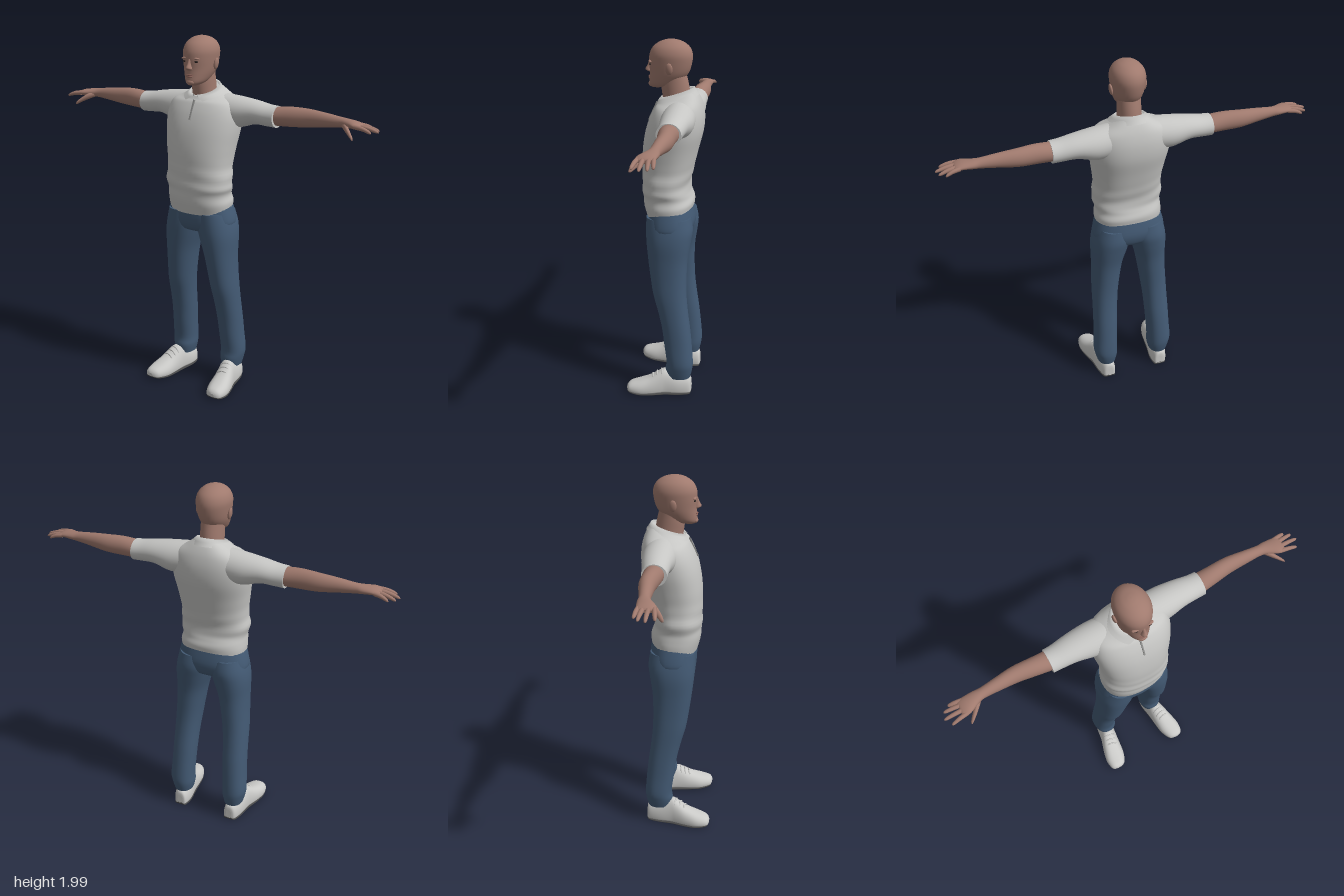
import * as THREE from 'three';

const mat = (name, color, side = THREE.FrontSide) => {
  const m = new THREE.MeshStandardMaterial({ color, side });
  m.name = name;
  return m;
};

// Catmull-Rom resampling of a table of section parameters, column by column
function smooth(rows, sub) {
  const out = [];
  const n = rows.length;
  for (let i = 0; i < n - 1; i++) {
    const [a, b, c, d] = [rows[Math.max(i - 1, 0)], rows[i], rows[i + 1], rows[Math.min(i + 2, n - 1)]];
    for (let k = 0; k < sub; k++) {
      const t = k / sub;
      out.push(b.map((p1, j) => {
        const p0 = a[j], p2 = c[j], p3 = d[j];
        return p1 + 0.5 * t * (p2 - p0 + t * (2 * p0 - 5 * p1 + 4 * p2 - p3 + t * (3 * (p1 - p2) + p3 - p0)));
      }));
    }
  }
  out.push(rows[n - 1]);
  return out;
}

// Closed skin over the sections; ring(row, angle) gives one point, side mirrors in x
function loft(name, material, rows, ring, { side = 1, sub = 4, seg = 32 } = {}) {
  const pos = [], idx = [];
  const rings = smooth(rows, sub).map((r) => Array.from({ length: seg }, (_, j) => {
    const p = ring(r, (j / seg) * Math.PI * 2);
    return [p[0] * side, p[1], p[2]];
  }));
  rings.forEach((r) => r.forEach((p) => pos.push(...p)));
  for (let i = 0; i < rings.length - 1; i++) {
    for (let j = 0; j < seg; j++) {
      const a = i * seg + j, b = i * seg + (j + 1) % seg;
      idx.push(a, a + seg, b, b, a + seg, b + seg);
    }
  }
  // End caps with their own vertices keep the rims crisp
  [rings[0], rings[rings.length - 1]].forEach((r, end) => {
    const base = pos.length / 3;
    r.forEach((p) => pos.push(...p));
    pos.push(...[0, 1, 2].map((k) => r.reduce((s, p) => s + p[k], 0) / seg));
    for (let j = 0; j < seg; j++) {
      const a = base + j, b = base + (j + 1) % seg;
      idx.push(...(end ? [a, base + seg, b] : [a, b, base + seg]));
    }
  });
  // Turn the faces outward whichever way the sections run
  const v = (i) => new THREE.Vector3().fromArray(pos, i * 3);
  let volume = 0;
  for (let i = 0; i < idx.length; i += 3) volume += v(idx[i]).dot(v(idx[i + 1]).cross(v(idx[i + 2])));
  if (volume < 0) idx.reverse();
  const g = new THREE.BufferGeometry();
  g.setAttribute('position', new THREE.Float32BufferAttribute(pos, 3));
  g.setIndex(idx);
  g.computeVertexNormals();
  const mesh = new THREE.Mesh(g, material);
  mesh.name = name;
  return mesh;
}

const pw = (v, e) => Math.sign(v) * Math.abs(v) ** e;

// Upright section: [y, halfWidth, zFront, zBack, tilt]
const upright = (e = 1) => ([y, w, f, b, tilt = 0], a) =>
  [w * pw(Math.cos(a), e), y - tilt * Math.sin(a), (f + b) / 2 + ((f - b) / 2) * pw(Math.sin(a), e)];
// Sideways section: [x, yCentre, zCentre, yRadius, zRadius]
const sideways = ([x, y, z, ry, rz], a) => [x, y + ry * Math.sin(a), z + rz * Math.cos(a)];
// Trouser leg section: [y, xOuter, xInner, zFront, zBack]
const legRing = ([y, o, i, f, b], a) =>
  [(o + i) / 2 + ((o - i) / 2) * pw(Math.cos(a), 0.9), y, (f + b) / 2 + ((f - b) / 2) * pw(Math.sin(a), 0.9)];
// Shoe section: [z, xCentre, halfWidth, top, bottom], rounded above and flat below
const shoeRing = ([z, x, w, top, bottom], a) => {
  const s = Math.sin(a), base = bottom + (top - bottom) * 0.3;
  return [x + w * pw(Math.cos(a), 0.8), s > 0 ? base + (top - base) * s : base - (base - bottom) * Math.abs(s) ** 0.4, z];
};

export function createModel() {
  const model = new THREE.Group();
  model.name = 'standingMan';
  const skin = mat('skin', 0xa07a6e);
  const lip = mat('lips', 0x8a6158);
  const eyeDark = mat('eyes', 0x2e2624);
  const shirt = mat('shirt', 0xc6c6c4, THREE.DoubleSide);
  const seam = mat('shirtSeam', 0x8c8c8a);
  const denim = mat('trousers', 0x435a74);
  const shoe = mat('shoe', 0xcacac8);
  const sole = mat('sole', 0x484848);

  const blob = (name, material, p, s, rz = 0) => {
    const m = new THREE.Mesh(new THREE.SphereGeometry(1, 20, 14), material);
    m.name = name;
    m.position.set(...p);
    m.scale.set(...s);
    m.rotation.z = rz;
    model.add(m);
  };

  // Shirt body with a loose waist and soft folds
  const body = upright(0.86);
  model.add(loft('shirtBody', shirt, [
    [1.06, 0.182, 0.108, -0.145, 0.025], [1.1, 0.186, 0.122, -0.147, 0.012], [1.15, 0.18, 0.13, -0.138, 0],
    [1.2, 0.192, 0.132, -0.124, 0], [1.3, 0.185, 0.133, -0.142, 0], [1.4, 0.197, 0.13, -0.165, 0],
    [1.5, 0.212, 0.115, -0.19, 0], [1.58, 0.213, 0.09, -0.195, 0], [1.64, 0.19, 0.062, -0.185, 0.005],
    [1.675, 0.125, 0.045, -0.165, 0.02], [1.7, 0.075, 0.035, -0.14, 0.03],
  ], (r, a) => {
    const p = body(r, a);
    const fold = 1 + 0.018 * Math.sin(r[0] * 75 + 2 * Math.cos(a)) * Math.exp(-(((r[0] - 1.2) / 0.09) ** 2));
    return [p[0] * fold, p[1], p[2] * fold];
  }, { sub: 6, seg: 48 }));

  // Folded collar, open at the front
  const collarPos = [], collarIdx = [], cn = 40;
  [[0.066, 0.08, 1.69, 0.03, 0.1, 0], [0.074, 0.092, 1.71, 0.03, 0.14, 0], [0.092, 0.105, 1.695, 0.025, 0.3, 0.01],
    [0.112, 0.118, 1.68, 0.022, 0.5, 0.025]].forEach(([rx, rz, y, tilt, gap, drop], i) => {
    for (let j = 0; j <= cn; j++) {
      const a = gap + (j / cn) * (Math.PI * 2 - 2 * gap), c = Math.cos(a);
      collarPos.push(rx * Math.sin(a), y - tilt * c - drop * Math.max(0, c) ** 5, -0.05 + rz * c);
      if (i && j) {
        const q = i * (cn + 1) + j, p = q - cn - 1;
        collarIdx.push(p - 1, p, q - 1, p, q, q - 1);
      }
    }
  });
  const collarGeo = new THREE.BufferGeometry();
  collarGeo.setAttribute('position', new THREE.Float32BufferAttribute(collarPos, 3));
  collarGeo.setIndex(collarIdx);
  collarGeo.computeVertexNormals();
  const collar = new THREE.Mesh(collarGeo, shirt);
  collar.name = 'collar';
  model.add(collar);

  // Button opening below the collar
  const placket = new THREE.Mesh(new THREE.BoxGeometry(0.008, 0.11, 0.008), seam);
  placket.name = 'placket';
  placket.position.set(0.004, 1.603, 0.081);
  placket.rotation.x = -0.43;
  model.add(placket);

  // Neck and head
  model.add(loft('neck', skin, [
    [1.64, 0.066, 0.02, -0.125], [1.7, 0.062, 0.03, -0.12], [1.75, 0.061, 0.035, -0.112], [1.8, 0.06, 0.03, -0.1],
  ], upright()));
  model.add(loft('head', skin, [
    [1.733, 0.022, 0.085, 0.03], [1.74, 0.038, 0.096, -0.01], [1.755, 0.054, 0.1, -0.05], [1.785, 0.069, 0.098, -0.09],
    [1.82, 0.08, 0.096, -0.115], [1.87, 0.088, 0.099, -0.129], [1.91, 0.09, 0.096, -0.13],
    [1.945, 0.078, 0.078, -0.115], [1.97, 0.053, 0.045, -0.083], [1.982, 0.025, 0.01, -0.045], [1.985, 0.004, -0.014, -0.022],
  ], upright(), { sub: 5 }));
  model.add(loft('nose', skin, [
    [1.812, 0.008, 0.102, 0.08], [1.818, 0.017, 0.113, 0.08], [1.826, 0.016, 0.121, 0.08],
    [1.845, 0.01, 0.111, 0.08], [1.872, 0.008, 0.1, 0.08],
  ], upright(), { seg: 20 }));
  blob('upperLip', lip, [0, 1.788, 0.096], [0.022, 0.004, 0.008]);
  blob('lowerLip', lip, [0, 1.78, 0.095], [0.018, 0.005, 0.008]);
  blob('chin', skin, [0, 1.75, 0.088], [0.025, 0.016, 0.016]);

  for (const side of [1, -1]) {
    const add = (name, material, rows, ring, opt = {}) => model.add(loft(name, material, rows, ring, { side, ...opt }));

    // Eyes, brows and ears
    blob('eye', eyeDark, [side * 0.035, 1.858, 0.087], [0.014, 0.005, 0.006]);
    blob('brow', skin, [side * 0.035, 1.874, 0.085], [0.023, 0.006, 0.011], -side * 0.1);
    blob('ear', skin, [side * 0.089, 1.842, -0.022], [0.01, 0.031, 0.019], -side * 0.15);

    // Sleeve and bare arm
    add('sleeve', shirt, [
      [0.1, 1.597, -0.08, 0.085, 0.088], [0.2, 1.59, -0.085, 0.084, 0.088], [0.3, 1.597, -0.087, 0.064, 0.075],
      [0.38, 1.589, -0.086, 0.058, 0.066], [0.43, 1.586, -0.086, 0.057, 0.064],
    ], sideways);
    add('arm', skin, [
      [0.4, 1.587, -0.086, 0.048, 0.054], [0.5, 1.594, -0.092, 0.052, 0.047], [0.6, 1.596, -0.1, 0.048, 0.041],
      [0.7, 1.598, -0.096, 0.037, 0.033], [0.78, 1.598, -0.092, 0.027, 0.028], [0.82, 1.598, -0.087, 0.023, 0.035],
      [0.87, 1.597, -0.074, 0.019, 0.046], [0.9, 1.592, -0.073, 0.014, 0.045], [0.91, 1.59, -0.073, 0.007, 0.036],
    ], sideways);

    // Fingers: base z, tip x, tip z
    for (const [z0, x1, z1] of [[-0.108, 0.955, -0.122], [-0.086, 0.986, -0.101], [-0.062, 0.998, -0.066], [-0.038, 0.975, -0.026]]) {
      const row = (t, r) => [0.88 + (x1 - 0.88) * t, 1.594 - 0.02 * t * t, z0 + (z1 - z0) * t, r, r];
      add('finger', skin, [row(0, 0.012), row(0.5, 0.011), row(0.9, 0.008), row(1, 0.002)], sideways, { seg: 12 });
    }
    add('thumb', skin, [
      [0.8, 1.59, -0.08, 0.014, 0.016], [0.835, 1.578, -0.048, 0.017, 0.018], [0.87, 1.555, -0.018, 0.012, 0.013],
      [0.888, 1.54, -0.004, 0.008, 0.008], [0.893, 1.536, 0, 0.002, 0.002],
    ], sideways, { seg: 14 });

    // Trouser leg with a gathered cuff
    add('trouserLeg', denim, [
      [1.04, 0.185, 0.0, 0.1, -0.145], [0.97, 0.204, -0.004, 0.1, -0.156], [0.9, 0.213, 0.012, 0.096, -0.148],
      [0.8, 0.212, 0.042, 0.084, -0.133], [0.7, 0.214, 0.06, 0.07, -0.13], [0.6, 0.219, 0.074, 0.053, -0.132],
      [0.5, 0.222, 0.084, 0.025, -0.142], [0.4, 0.226, 0.09, 0.002, -0.156], [0.3, 0.23, 0.096, -0.012, -0.167],
      [0.2, 0.236, 0.1, -0.026, -0.175], [0.15, 0.229, 0.1, -0.02, -0.172], [0.1, 0.216, 0.11, -0.03, -0.16],
    ], legRing);

    // Shoe, dark sole and laces
    const shoeRows = [
      [-0.167, 0.16, 0.018, 0.07, 0.012], [-0.158, 0.162, 0.036, 0.1, 0.005], [-0.1, 0.167, 0.05, 0.12, 0.004],
      [-0.03, 0.177, 0.051, 0.148, 0.004], [0.005, 0.184, 0.054, 0.138, 0.004], [0.06, 0.195, 0.06, 0.104, 0.004],
      [0.12, 0.205, 0.062, 0.08, 0.006], [0.17, 0.212, 0.049, 0.064, 0.012], [0.188, 0.214, 0.033, 0.052, 0.016],
      [0.195, 0.215, 0.012, 0.04, 0.024],
    ];
    add('shoe', shoe, shoeRows, shoeRing);
    add('sole', sole, shoeRows.slice(0, -1).map(([z, x, w, , b]) => [z, x, w * 0.97, b + 0.007, b - 0.004]), shoeRing);
    for (const [z, y, x] of [[0.0, 0.137, 0.183], [0.025, 0.124, 0.188], [0.05, 0.109, 0.193]]) {
      const lace = new THREE.Mesh(new THREE.TorusGeometry(0.034, 0.005, 8, 16, Math.PI), shoe);
      lace.name = 'lace';
      lace.position.set(side * x, y - 0.03, z);
      lace.rotation.y = side * 0.2;
      model.add(lace);
    }
  }

  // Hips joining the two legs
  model.add(loft('hips', denim, [
    [0.915, 0.1, 0.03, -0.09], [0.935, 0.16, 0.08, -0.13], [0.97, 0.2, 0.1, -0.148], [1.02, 0.198, 0.105, -0.153], [1.1, 0.176, 0.1, -0.137],
  ], upright(0.85)));

  return model;
}
